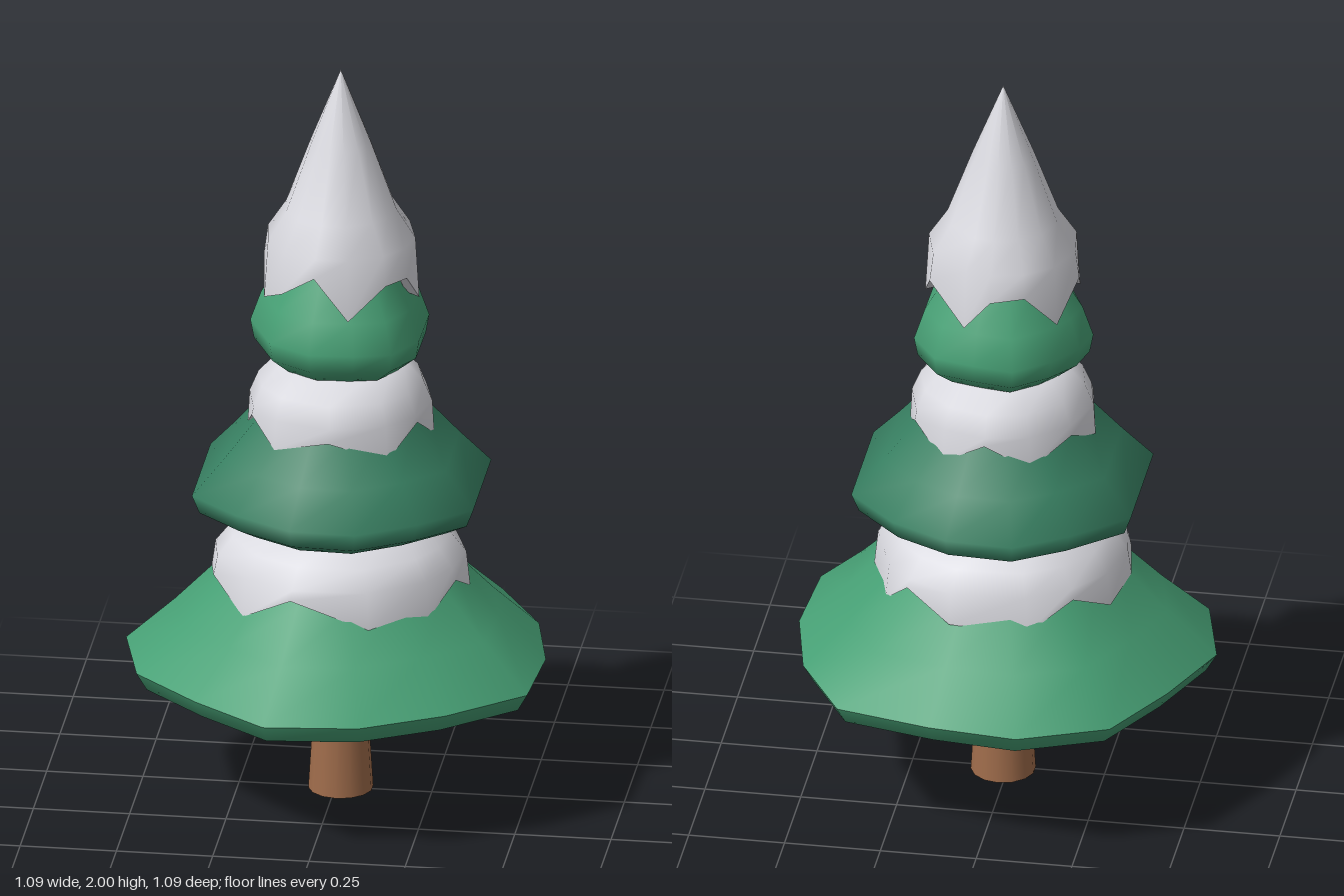
import * as THREE from 'three';
import { mergeGeometries } from 'three/addons/utils/BufferGeometryUtils.js';

const CX = 0.013, CZ = -0.006; // trunk axis
const paint = (name, color) => {
  const m = new THREE.MeshStandardMaterial({ color });
  m.name = name;
  return m;
};

// Smooth skin through closed rings, ordered from bottom to top
function loft(rings) {
  const n = rings[0].length, index = [];
  for (let r = 0; r < rings.length - 1; r++) {
    for (let i = 0; i < n; i++) {
      const j = (i + 1) % n, a = r * n + i, b = r * n + j;
      index.push(a, b, b + n, a, b + n, a + n);
    }
  }
  const geo = new THREE.BufferGeometry().setFromPoints(rings.flat());
  geo.setIndex(index);
  geo.computeVertexNormals();
  return geo;
}

// Foliage skirt: a rim outline scaled along a [scale, y] profile; each band is smooth
function skirt(rim, bands) {
  const ring = ([s, y]) => rim.map(([x, z]) =>
    new THREE.Vector3(CX + (x - CX) * s, y, CZ + (z - CZ) * s));
  return mergeGeometries(bands.map((band) => loft(band.map(ring))));
}

// Snow mantle: hem points [degrees, y], then [radius, y] rings up to the top
function mantle(hem, hemRadius, profile, inner) {
  const at = (deg, r, y) => {
    const a = THREE.MathUtils.degToRad(deg);
    return new THREE.Vector3(CX + Math.sin(a) * r, y, CZ + Math.cos(a) * r);
  };
  const ring = ([r, y]) => hem.map(([d]) => at(d, r, y));
  const edge = hem.map(([d, y]) => at(d, hemRadius, y));
  const lip = hem.map(([d, y]) => at(d, hemRadius - 0.035, y + 0.012));
  return mergeGeometries([
    loft([edge, ...profile.map(ring)]),
    loft([lip, edge]),
    loft([ring(inner), lip]),
  ]);
}

export function createModel() {
  const tree = new THREE.Group();
  tree.name = 'snowyTree';
  const bark = paint('bark brown', 0x9f6c4b);
  const green = paint('bright green', 0x47a075);
  const deepGreen = paint('deep green', 0x388062);
  const snow = paint('snow white', 0xdadae0);
  const add = (name, geo, mat) => {
    const mesh = new THREE.Mesh(geo, mat);
    mesh.name = name;
    tree.add(mesh);
    return mesh;
  };

  // Trunk
  add('trunk', new THREE.CylinderGeometry(0.062, 0.084, 0.36, 14), bark).position.set(CX, 0.18, CZ);

  // Foliage, rims listed from the front round through +x
  const lowRim = [[-0.115, 0.54], [0.13, 0.515], [0.34, 0.4], [0.53, 0.235], [0.545, -0.01],
    [0.495, -0.245], [0.37, -0.46], [0.12, -0.52], [-0.11, -0.545], [-0.34, -0.45],
    [-0.455, -0.235], [-0.545, -0.01], [-0.485, 0.23], [-0.31, 0.395]];
  add('lowerFoliage', skirt(lowRim, [
    [[0, 0.285], [0.74, 0.288], [0.95, 0.335], [1, 0.383]],
    [[1, 0.383], [0.77, 0.5], [0.56, 0.62], [0.38, 0.76], [0, 0.78]],
  ]), green);

  const midRim = [[-0.07, 0.365], [0.1, 0.372], [0.25, 0.28], [0.38, 0.16], [0.38, -0.18],
    [0.25, -0.31], [0.1, -0.385], [-0.075, -0.395], [-0.21, -0.31], [-0.35, -0.185],
    [-0.35, 0.165], [-0.22, 0.28]];
  add('middleFoliage', skirt(midRim, [
    [[0, 0.775], [0.8, 0.778], [0.95, 0.81], [1, 0.86], [0.79, 0.95], [0.55, 1.06],
      [0.38, 1.18], [0, 1.19]],
  ]), deepGreen);

  const topRim = [[-0.04, 0.215], [0.075, 0.208], [0.17, 0.185], [0.228, 0.08], [0.23, -0.1],
    [0.16, -0.2], [0.055, -0.225], [-0.05, -0.242], [-0.14, -0.17], [-0.2, -0.09],
    [-0.222, -0.005], [-0.15, 0.15]];
  add('upperFoliage', skirt(topRim, [
    [[0, 1.195], [0.74, 1.198], [0.96, 1.24], [1, 1.29], [0.88, 1.37], [0.64, 1.46],
      [0.4, 1.58], [0, 1.6]],
  ]), green);

  // Snow mantles lying on each tier
  add('lowerSnow', mantle(
    [[-15, 0.645], [20, 0.57], [50, 0.57], [70, 0.64], [92, 0.575], [125, 0.575], [142, 0.65],
      [165, 0.585], [200, 0.57], [222, 0.645], [245, 0.58], [270, 0.6], [290, 0.62], [319, 0.565]],
    0.335, [[0.325, 0.67], [0.285, 0.72], [0.2, 0.79], [0, 0.8]], [0.2, 0.74]), snow);

  add('middleSnow', mantle(
    [[0, 1.055], [37, 0.995], [62, 1.075], [90, 1], [120, 1.065], [150, 1], [178, 1.07],
      [206, 1], [236, 1.065], [268, 1], [297, 1.07], [323, 1.01]],
    0.243, [[0.238, 1.09], [0.215, 1.145], [0.16, 1.205], [0, 1.21]], [0.14, 1.16]), snow);

  add('snowCap', mantle(
    [[-12, 1.495], [13, 1.38], [42, 1.465], [64, 1.465], [88, 1.38], [122, 1.47], [160, 1.385],
      [180, 1.47], [205, 1.48], [232, 1.38], [262, 1.47], [294, 1.39], [320, 1.43]],
    0.205, [[0.195, 1.545], [0.146, 1.62], [0.08, 1.8], [0, 2]], [0.1, 1.57]), snow);

  return tree;
}
